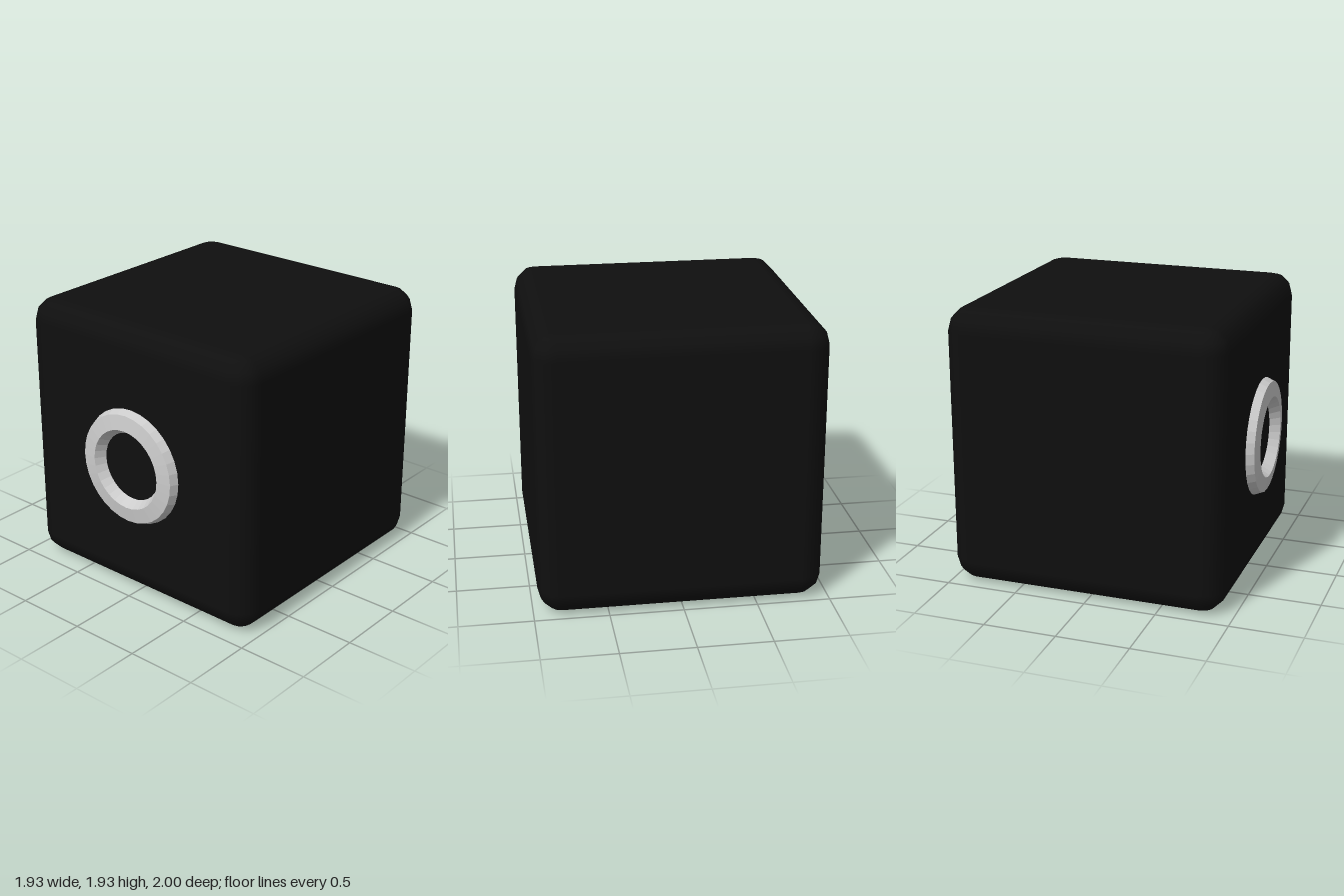
import * as THREE from 'three';
import { ConvexGeometry } from 'three/addons/geometries/ConvexGeometry.js';

const SIZE = 1.93;
const BEVEL = 0.16;

// Cube with three-step rounded edges and smooth normals
function roundedCube(size, radius) {
  const core = size / 2 - radius;
  const ball = new THREE.SphereGeometry(radius, 12, 6).attributes.position;
  const points = new Map();
  const v = new THREE.Vector3();
  for (let i = 0; i < ball.count; i++) {
    v.fromBufferAttribute(ball, i);
    for (const sx of [-1, 1]) for (const sy of [-1, 1]) for (const sz of [-1, 1]) {
      // keep only the octant that belongs to this corner
      if (v.x * sx < -1e-6 || v.y * sy < -1e-6 || v.z * sz < -1e-6) continue;
      const p = new THREE.Vector3(sx, sy, sz).multiplyScalar(core).add(v);
      points.set(p.toArray().map((n) => Math.round(n * 1e4)).join(), p);
    }
  }
  const geometry = new ConvexGeometry([...points.values()]);
  const pos = geometry.attributes.position;
  const c = new THREE.Vector3();
  for (let i = 0; i < pos.count; i++) {
    v.fromBufferAttribute(pos, i);
    c.copy(v).clampScalar(-core, core);
    v.sub(c).normalize();
    geometry.attributes.normal.setXYZ(i, v.x, v.y, v.z);
  }
  return geometry;
}

export function createModel() {
  const model = new THREE.Group();

  // Dark body
  const body = new THREE.Mesh(
    roundedCube(SIZE, BEVEL),
    new THREE.MeshStandardMaterial({ color: 0x0f0f0f })
  );
  body.name = 'body';
  body.position.set(0, SIZE / 2, -0.035);
  model.add(body);

  // Faceted ring half sunk into the front face
  const profile = [
    [0.425, 0.89], [0.385, 0.985], [0.28, 1.0], [0.22, 0.9], [0.425, 0.89],
  ].map(([r, z]) => new THREE.Vector2(r, z));
  const ring = new THREE.Mesh(
    new THREE.LatheGeometry(profile, 32),
    new THREE.MeshStandardMaterial({ color: 0xcccccc, flatShading: true })
  );
  ring.name = 'frontRing';
  ring.rotation.x = Math.PI / 2;
  ring.position.y = SIZE / 2;
  model.add(ring);

  return model;
}
